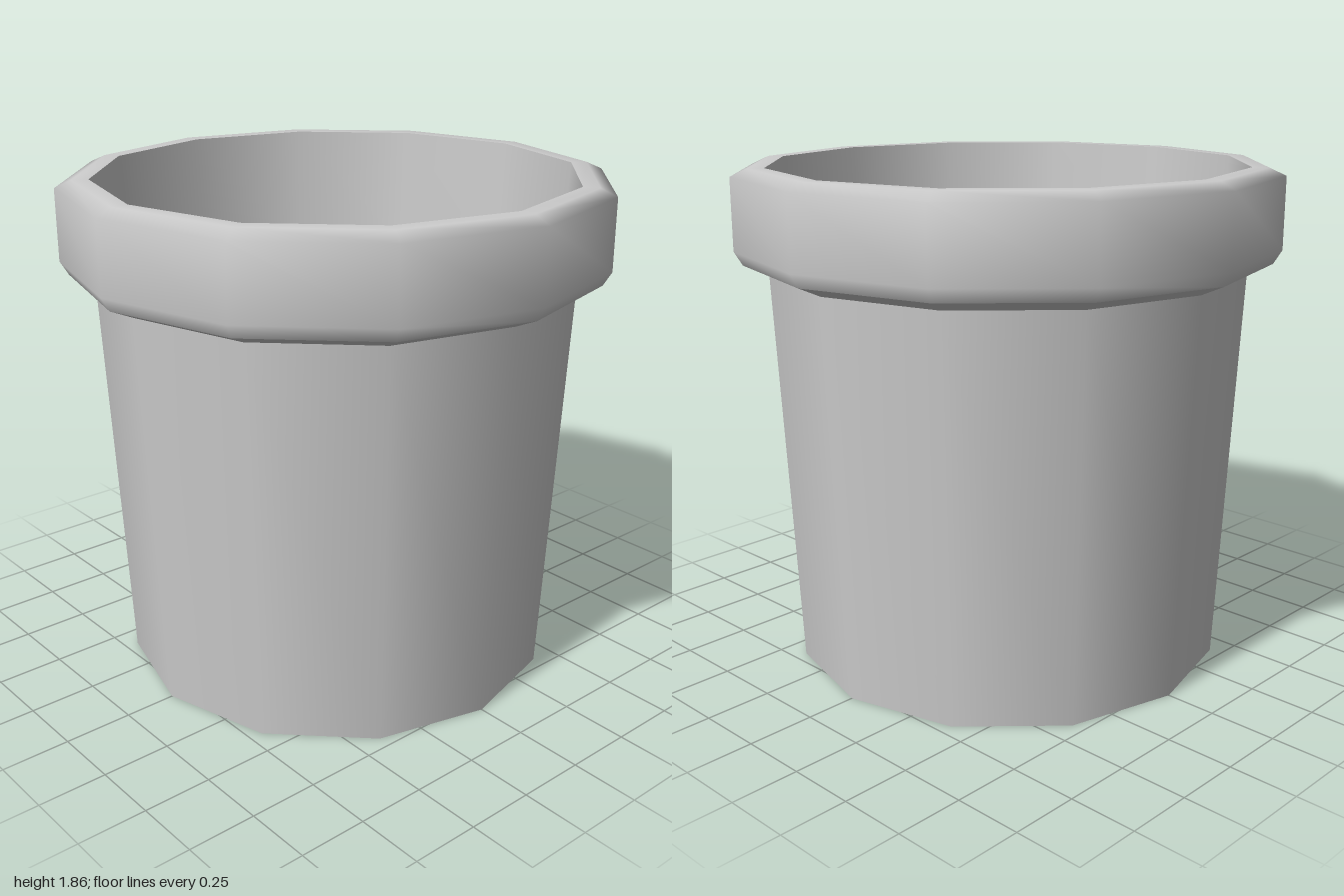
import * as THREE from 'three';

const SIDES = 12;
const material = new THREE.MeshStandardMaterial({ color: 0xcccccc, side: THREE.DoubleSide });

// Revolves a profile of [radius, height] pairs, smooth within the part
function ring(name, profile) {
  const points = profile.map(([r, y]) => new THREE.Vector2(r, y));
  const mesh = new THREE.Mesh(new THREE.LatheGeometry(points, SIDES), material);
  mesh.name = name;
  return mesh;
}

export function createModel() {
  const pot = new THREE.Group();
  pot.name = 'flowerPot';

  // Tapered body, open underneath
  pot.add(ring('outerWall', [[0.81, 0], [0.88, 1.48]]));

  // Sloping underside of the collar
  pot.add(ring('rimUnderside', [[0.88, 1.48], [0.97, 1.52]]));

  // Thick collar with bevelled edges
  pot.add(ring('rim', [
    [0.97, 1.52], [1, 1.57], [1, 1.83], [0.94, 1.857], [0.88, 1.857],
  ]));

  // Inside of the collar, down to the soil
  pot.add(ring('innerWall', [[0.88, 1.857], [0.853, 1.38]]));

  // Soil, gently heaped towards the middle
  const heap = new THREE.CircleGeometry(0.853, SIDES);
  heap.attributes.position.setZ(0, 0.1);
  heap.computeVertexNormals();
  const soil = new THREE.Mesh(heap, material);
  soil.name = 'soil';
  soil.rotation.x = -Math.PI / 2;
  soil.position.y = 1.38;
  pot.add(soil);

  return pot;
}
